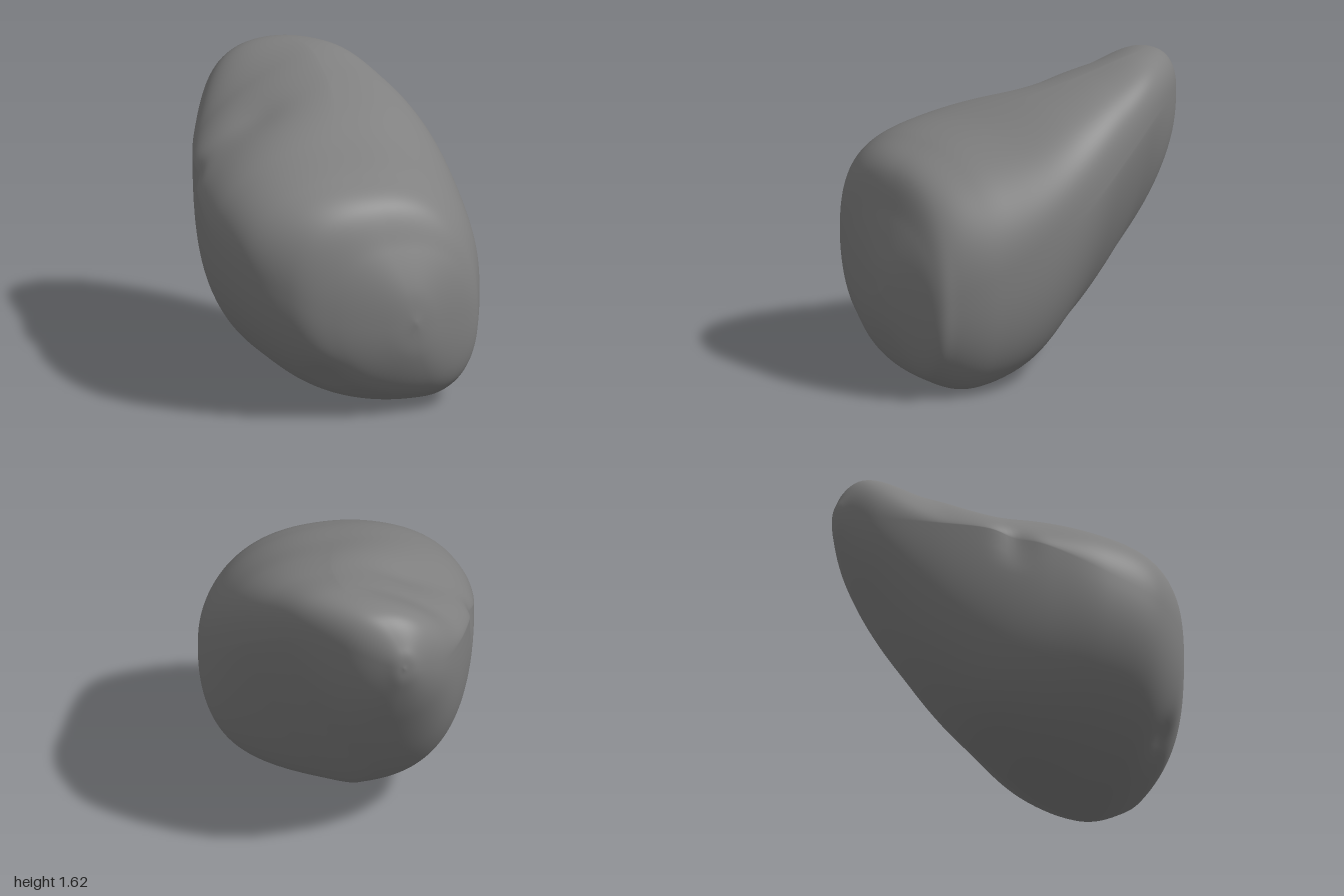
import * as THREE from 'three';
import { mergeVertices } from 'three/addons/utils/BufferGeometryUtils.js';

// Cross-sections from front to back: z, then x,y of the left-hand, right-hand, top and bottom extremes
const SECTIONS = [
  [1.0, 0.15, 0.55, 0.15, 0.55, 0.15, 0.55, 0.15, 0.55],
  [0.975, -0.01, 0.54, 0.29, 0.52, 0.12, 0.73, 0.18, 0.35],
  [0.9, -0.28, 0.6, 0.52, 0.5, 0.05, 0.95, 0.27, 0.16],
  [0.8, -0.5, 0.74, 0.6, 0.55, 0.0, 1.17, 0.3, 0.07],
  [0.6, -0.68, 0.84, 0.68, 0.65, -0.04, 1.28, 0.3, 0.0],
  [0.3, -0.73, 0.93, 0.72, 0.82, 0.02, 1.37, 0.25, 0.03],
  [0.0, -0.68, 1.05, 0.7, 1.0, 0.12, 1.47, 0.13, 0.09],
  [-0.3, -0.58, 1.15, 0.61, 1.2, 0.19, 1.555, 0.03, 0.22],
  [-0.6, -0.44, 1.2, 0.47, 1.37, 0.2, 1.62, 0.0, 0.52],
  [-0.85, -0.28, 1.25, 0.26, 1.4, 0.08, 1.59, -0.02, 0.92],
  [-0.975, -0.11, 1.31, 0.06, 1.34, -0.01, 1.43, -0.02, 1.2],
  [-1.0, -0.02, 1.33, -0.02, 1.33, -0.02, 1.33, -0.02, 1.33],
];

// Small dents: x, y, z, radius, depth
const DENTS = [
  [-0.63, 1.1, -0.2, 0.09, 0.03],
  [-0.25, 1.38, -0.22, 0.16, 0.02],
  [-0.27, 0.25, 0.78, 0.1, 0.02],
];

const RINGS = 120, SIDES = 120;
const { lerp, smoothstep } = THREE.MathUtils;

// Roundness of a quarter section: above 2 is boxy, below 2 is cut off flat.
// The rear half is chamfered at its upper left and lower right.
function roundness(onRight, onTop, z) {
  const rear = (1 - smoothstep(z, -0.25, 0.5)) * smoothstep(z, -1, -0.5);
  if (onRight) return onTop ? lerp(2.3, 2.8, rear) : lerp(2.3, 1.4, rear);
  return onTop ? lerp(2.3, 1.4, rear) : lerp(2.15, 2.6, rear);
}

function buildStone() {
  // Guide curves running along the four extremes
  const [left, right, top, bottom] = [1, 3, 5, 7].map((k) => new THREE.CatmullRomCurve3(
    SECTIONS.map((s) => new THREE.Vector3(s[k], s[k + 1], s[0])), false, 'catmullrom', 0.5));

  const positions = [], index = [];
  const p = new THREE.Vector3(), inward = new THREE.Vector3(), spot = new THREE.Vector3();
  for (let i = 0; i <= RINGS; i++) {
    const t = i / RINGS;
    const L = left.getPoint(t), R = right.getPoint(t), T = top.getPoint(t), B = bottom.getPoint(t);
    for (let j = 0; j < SIDES; j++) {
      // Each quarter of a section is a superellipse
      const a = (j / SIDES) * Math.PI * 2;
      const c = Math.cos(a), s = Math.sin(a);
      const H = c >= 0 ? R : L, V = s >= 0 ? T : B;
      const e = 2 / roundness(c >= 0, s >= 0, L.z);
      p.set(
        V.x + (H.x - V.x) * Math.abs(c) ** e,
        H.y + (V.y - H.y) * Math.abs(s) ** e,
        L.z);
      // Press the dents towards the middle of the stone
      inward.set(0, 0.75 - 0.3 * p.z, p.z * 0.4).sub(p).normalize();
      let push = 0;
      for (const [x, y, z, r, d] of DENTS)
        push += d * Math.exp(-p.distanceToSquared(spot.set(x, y, z)) / (r * r));
      p.addScaledVector(inward, push);
      positions.push(p.x, p.y, p.z);
      if (i < RINGS) {
        const k = (j + 1) % SIDES, u = i * SIDES, w = u + SIDES;
        index.push(u + j, w + j, u + k, u + k, w + j, w + k);
      }
    }
  }
  const geometry = new THREE.BufferGeometry();
  geometry.setAttribute('position', new THREE.Float32BufferAttribute(positions, 3));
  geometry.setIndex(index);
  const merged = mergeVertices(geometry, 1e-5);
  merged.computeVertexNormals();
  return merged;
}

export function createModel() {
  const group = new THREE.Group();
  group.name = 'rock';
  const stone = new THREE.Mesh(buildStone(), new THREE.MeshStandardMaterial({ color: 0x808080 }));
  stone.name = 'stone';
  group.add(stone);
  return group;
}
